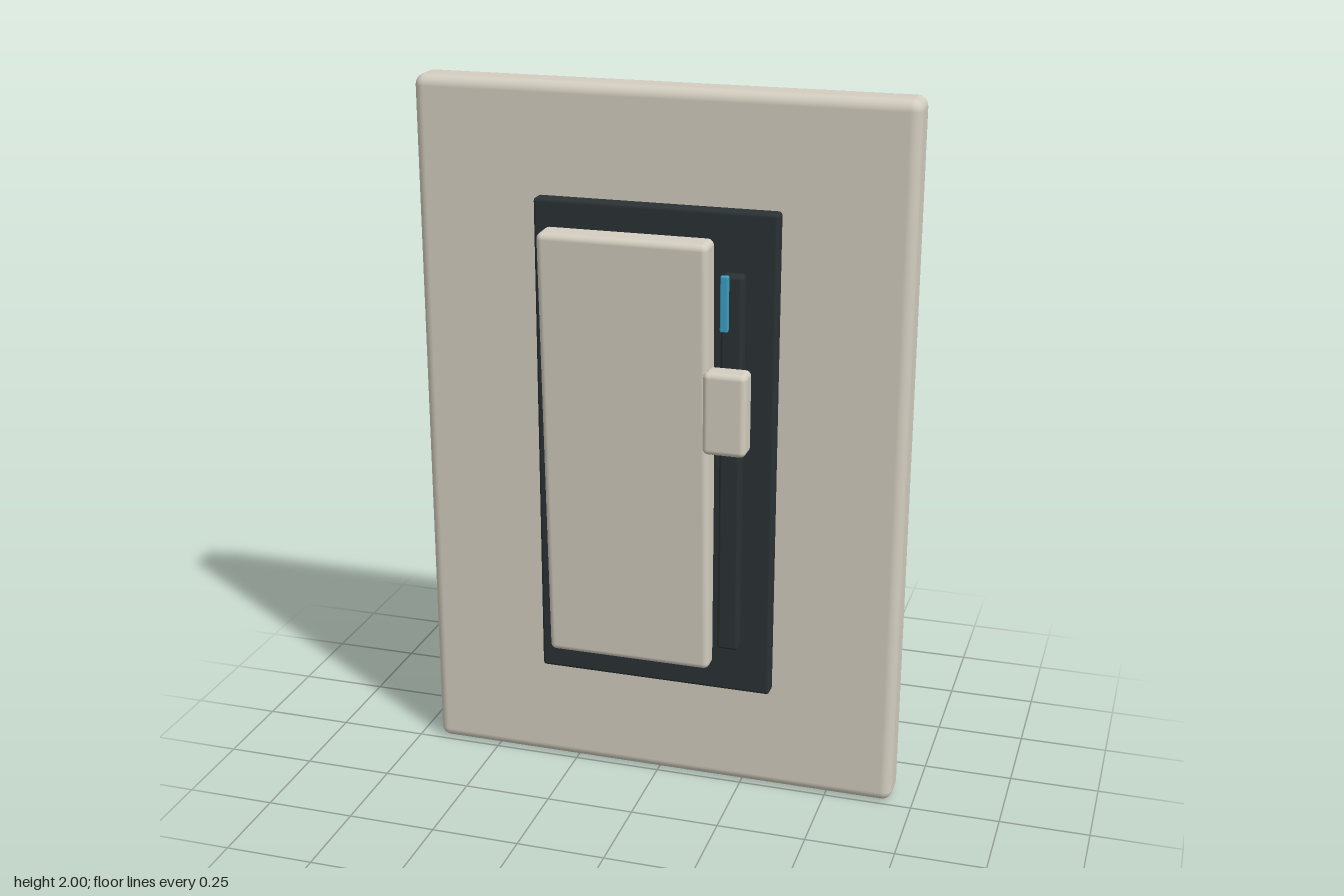
import * as THREE from 'three';
import { RoundedBoxGeometry } from 'three/addons/geometries/RoundedBoxGeometry.js';

export function createModel() {
  const model = new THREE.Group();
  model.name = 'dimmerSwitch';

  const ivory = new THREE.MeshStandardMaterial({ color: 0xd2cdbf });
  const charcoal = new THREE.MeshStandardMaterial({ color: 0x2b3234 });
  const blue = new THREE.MeshStandardMaterial({ color: 0x3a9fc4 });

  // Rounded block given by its [min, max] extents on each axis
  function block(name, material, [x0, x1], [y0, y1], [z0, z1], radius) {
    const geometry = new RoundedBoxGeometry(x1 - x0, y1 - y0, z1 - z0, 4, radius);
    const mesh = new THREE.Mesh(geometry, material);
    mesh.name = name;
    mesh.position.set((x0 + x1) / 2, (y0 + y1) / 2, (z0 + z1) / 2);
    model.add(mesh);
    return mesh;
  }

  // Wall plate, with the gasket behind and the bezel in front
  block('wallPlate', ivory, [-0.69, 0.69], [0, 2], [-0.122, -0.006], 0.03);
  block('backGasket', charcoal, [-0.645, 0.645], [0.05, 1.955], [-0.152, -0.09], 0.013);
  block('bezel', charcoal, [-0.338, 0.338], [0.31, 1.695], [-0.03, 0.032], 0.01);

  // Rocker paddle, tipped so its top stands proud
  const paddle = block('rockerPaddle', ivory, [-0.3, 0.172], [0.385, 1.625], [0.017, 0.101], 0.018);
  paddle.rotation.x = 0.042;

  // Dimmer slider: track, indicator light and knob
  block('sliderTrack', charcoal, [0.2, 0.26], [0.465, 1.538], [0.049, 0.092], 0.01);
  block('indicatorLight', blue, [0.202, 0.224], [1.388, 1.54], [0.09, 0.106], 0.004);
  block('sliderKnob', ivory, [0.168, 0.287], [1.058, 1.288], [0.081, 0.152], 0.016);

  return model;
}
